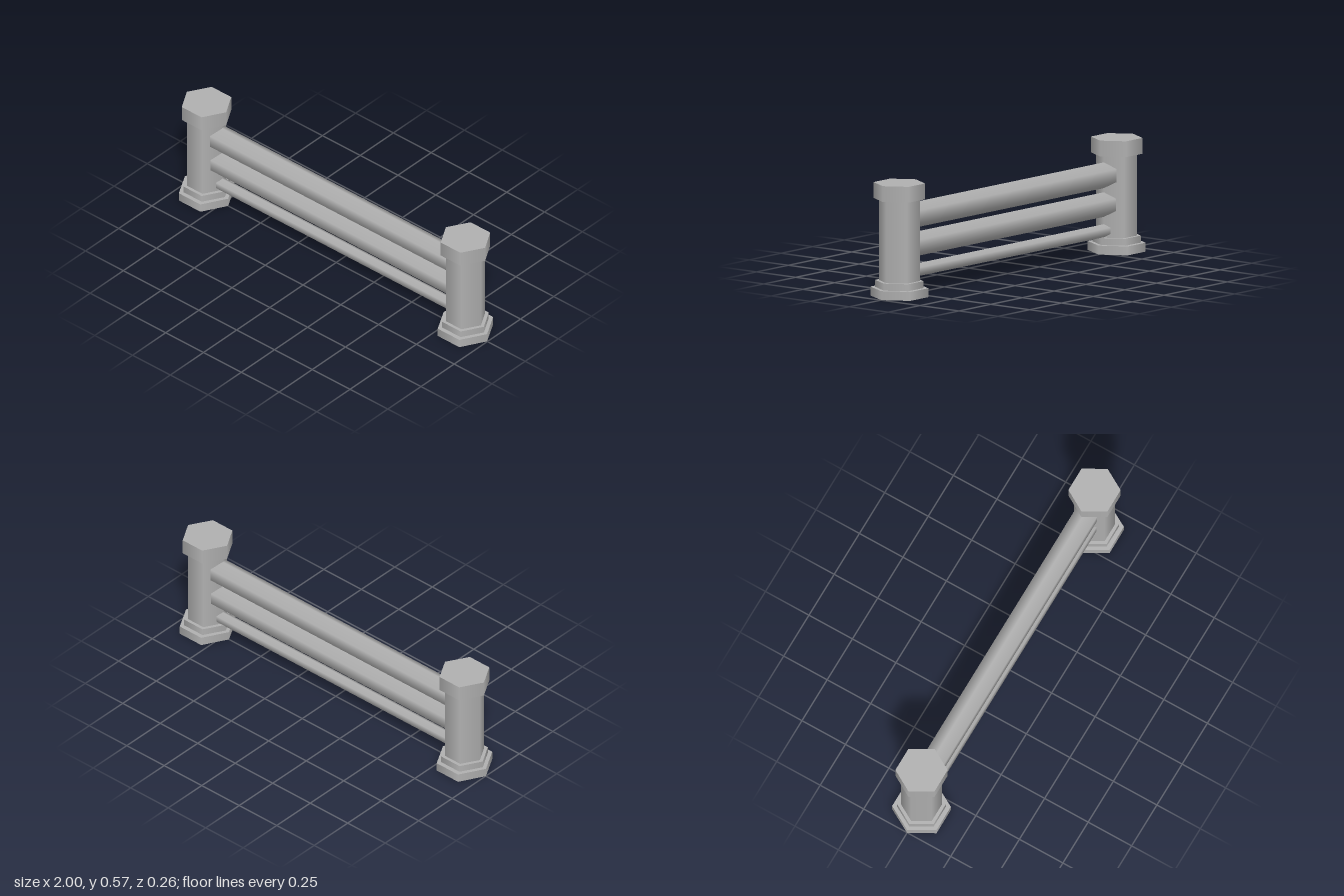
import * as THREE from 'three';

export function createModel() {
  const model = new THREE.Group();
  model.name = 'railFence';
  const stone = new THREE.MeshStandardMaterial({ color: 0xb0b0b0, side: THREE.DoubleSide });
  stone.name = 'grey';

  const add = (parent, name, geometry) => {
    const mesh = new THREE.Mesh(geometry, stone);
    mesh.name = name;
    parent.add(mesh);
    return mesh;
  };

  // six-sided upright prism with corners on the x axis
  const hexPrism = (r, y0, y1, open = false) =>
    new THREE.CylinderGeometry(r, r, y1 - y0, 6, 1, open)
      .rotateY(Math.PI / 6)
      .translate(0, (y0 + y1) / 2, 0);

  // flat six-sided ring closing the top of a hollow tier
  const hexLedge = (inner, outer, y) =>
    new THREE.RingGeometry(inner, outer, 6, 1).rotateX(-Math.PI / 2).translate(0, y, 0);

  // posts: hollow stepped foot, shaft and cap
  for (const [name, x] of [['leftPost', 0.855], ['rightPost', -0.858]]) {
    const post = new THREE.Group();
    post.name = name;
    post.position.x = x;
    add(post, 'footSkirt', hexPrism(0.143, 0, 0.045, true)).scale.z = 1.03;
    add(post, 'footLedge', hexLedge(0.1, 0.143, 0.045)).scale.z = 1.03;
    add(post, 'upperFootSkirt', hexPrism(0.122, 0.045, 0.08, true));
    add(post, 'upperFootLedge', hexLedge(0.1, 0.122, 0.08));
    add(post, 'shaft', hexPrism(0.103, 0.04, 0.495));
    add(post, 'cap', hexPrism(0.13, 0.493, 0.573));
    model.add(post);
  }

  // horizontal rails, ending inside the posts
  for (const [name, y, r] of [['topRail', 0.395, 0.065], ['middleRail', 0.247, 0.062], ['bottomRail', 0.115, 0.033]]) {
    const rail = new THREE.CylinderGeometry(r, r, 1.66, 6)
      .rotateY(Math.PI / 6)
      .rotateZ(Math.PI / 2);
    add(model, name, rail).position.set(-0.002, y, -0.001);
  }

  return model;
}
